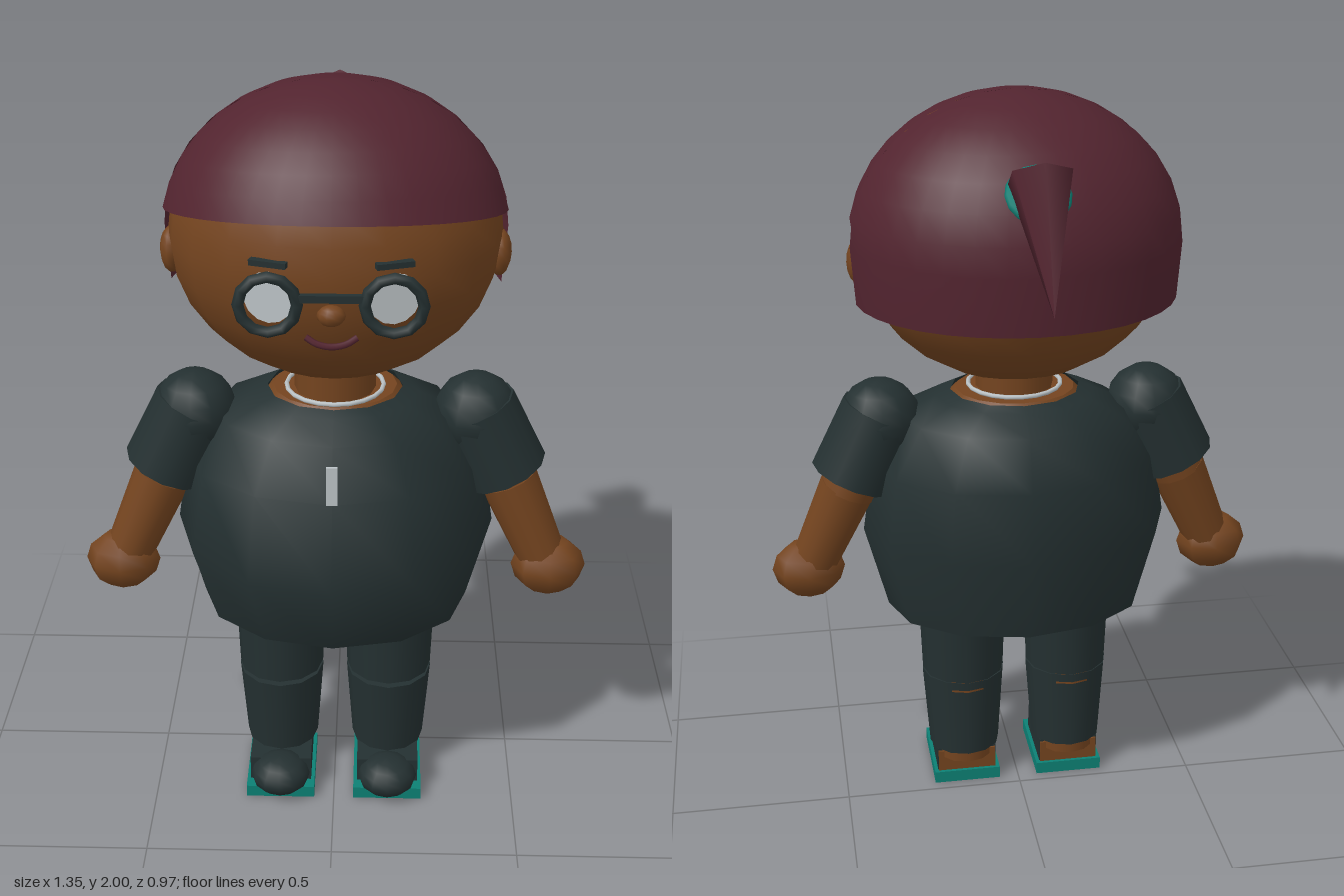
import * as THREE from 'three';
import { mergeVertices } from 'three/addons/utils/BufferGeometryUtils.js';

const mat = (name, color, side = THREE.FrontSide) => {
  const m = new THREE.MeshStandardMaterial({ color, side });
  m.name = name;
  return m;
};

// Smooth open surface from a grid of points fn(row, col)
function surface(rows, cols, fn) {
  const pos = [], idx = [];
  for (let r = 0; r <= rows; r++) for (let c = 0; c <= cols; c++) pos.push(...fn(r, c));
  for (let r = 0; r < rows; r++) for (let c = 0; c < cols; c++) {
    const a = r * (cols + 1) + c, b = a + cols + 1;
    idx.push(a, a + 1, b, a + 1, b + 1, b);
  }
  let g = new THREE.BufferGeometry();
  g.setAttribute('position', new THREE.Float32BufferAttribute(pos, 3));
  g.setIndex(idx);
  g = mergeVertices(g, 1e-4);
  g.computeVertexNormals();
  return g;
}

export function createModel() {
  const root = new THREE.Group();
  root.name = 'figure';
  const skin = mat('brown skin', 0x74441f);
  const hair = mat('plum hair', 0x52242f, THREE.DoubleSide);
  const cloth = mat('dark clothes', 0x243031, THREE.DoubleSide);
  const teal = mat('teal trim', 0x0c8074);
  const silver = mat('silver', 0xbcc3c6);

  const add = (name, geo, m, x = 0, y = 0, z = 0) => {
    const mesh = new THREE.Mesh(geo, m);
    mesh.name = name;
    mesh.position.set(x, y, z);
    root.add(mesh);
    return mesh;
  };
  const ball = (name, m, p, s, w = 16, h = 12) => {
    const mesh = add(name, new THREE.SphereGeometry(1, w, h), m, ...p);
    mesh.scale.set(...s);
    return mesh;
  };
  const box = (name, m, p, s) => add(name, new THREE.BoxGeometry(...s), m, ...p);
  const UP = new THREE.Vector3(0, 1, 0);
  // Tapered cylinder from point a (radius ra) to point b (radius rb)
  const limb = (name, m, a, b, ra, rb, sides = 12) => {
    const A = new THREE.Vector3(...a), B = new THREE.Vector3(...b);
    const mid = A.clone().add(B).multiplyScalar(0.5);
    const mesh = add(name, new THREE.CylinderGeometry(ra, rb, A.distanceTo(B), sides), m, mid.x, mid.y, mid.z);
    mesh.quaternion.setFromUnitVectors(UP, A.sub(B).normalize());
    return mesh;
  };

  // Head and neck
  ball('head', skin, [0, 1.62, 0.07], [0.415, 0.37, 0.362], 20, 14);
  limb('neck', skin, [0, 1.28, 0.1], [0, 1.17, 0.1], 0.105, 0.105);

  // Hair: front cap with a sloping fringe, back shell that drops straight down
  const point = (th, phi, k = 1) => [
    0.43 * k * Math.sin(th) * Math.cos(phi),
    1.62 + 0.38 * Math.cos(th),
    0.07 + (Math.sin(phi) > 0 ? 0.37 : 0.38) * k * Math.sin(th) * Math.sin(phi)];
  add('hairFront', surface(8, 20, (r, c) => {
    const phi = -0.11 + (Math.PI + 0.22) * c / 20;
    const edge = 1.67 + 0.21 * (0.04 + 0.36 * Math.sin(phi));
    return point(Math.acos((edge - 1.62) / 0.38) * r / 8, phi, 1);
  }), hair);
  add('hairBack', surface(9, 16, (r, c) => {
    const phi = Math.PI + 0.11 + (Math.PI - 0.22) * c / 16;
    if (r < 9) return point(Math.PI / 2 * r / 8, phi, 1.005);
    const p = point(Math.PI / 2, phi, 0.98);
    return [p[0], 1.47, p[2]];
  }), hair);
  const tail = add('ponytail', new THREE.ConeGeometry(0.082, 0.345, 6), hair, 0, 1.718, -0.389);
  tail.rotation.x = Math.PI + 0.605;
  const tie = add('hairTie', new THREE.TorusGeometry(0.065, 0.016, 8, 16), teal, 0, 1.81, -0.268);
  tie.rotation.x = Math.PI / 4;

  // Face
  for (const s of [1, -1]) {
    ball('ear', skin, [s * 0.407, 1.57, 0.08], [0.03, 0.06, 0.045], 10, 8);
    const eye = add('eye', new THREE.CylinderGeometry(0.062, 0.062, 0.008, 14), silver, s * 0.145, 1.58, 0.413);
    eye.rotation.set(Math.PI / 2, 0, -s * 0.3);
    add('glassesRim', new THREE.TorusGeometry(0.068, 0.014, 6, 12), cloth, s * 0.145, 1.58, 0.457);
    const brow = box('eyebrow', cloth, [s * 0.145, 1.662, 0.408], [0.09, 0.014, 0.02]);
    brow.rotation.y = s * 0.3;
  }
  box('glassesBridge', cloth, [0, 1.597, 0.457], [0.16, 0.018, 0.016]);
  ball('nose', skin, [0, 1.543, 0.43], [0.034, 0.026, 0.026], 10, 8);
  const smile = new THREE.CatmullRomCurve3([[-0.06, 1.479, 0.408], [-0.035, 1.466, 0.417],
    [0, 1.46, 0.42], [0.035, 1.466, 0.417], [0.06, 1.479, 0.408]].map(p => new THREE.Vector3(...p)));
  add('mouth', new THREE.TubeGeometry(smile, 12, 0.008, 6), hair);

  // Shirt rings: height, half width, front z, back z
  const rings = [[1.205, 0.175, 0.24, -0.07], [1.19, 0.215, 0.265, -0.09], [1.145, 0.31, 0.33, -0.16],
    [1.01, 0.39, 0.38, -0.206], [0.81, 0.42, 0.487, -0.222], [0.575, 0.358, 0.37, -0.17]];
  add('shirt', surface(rings.length - 1, 12, (r, c) => {
    const [y, w, f, b] = rings[r], t = 2 * Math.PI * (c % 12) / 12;
    const s = Math.sin(t);
    return [w * Math.cos(t), y, 0.09 + (s > 0 ? f - 0.09 : 0.09 - b) * s];
  }), cloth);
  const chest = add('neckline', new THREE.CylinderGeometry(0.16, 0.18, 0.02, 16), skin, 0, 1.198, 0.087);
  chest.scale.z = 0.9;
  const hips = add('hips', new THREE.CylinderGeometry(0.345, 0.335, 0.03, 12), skin, 0, 0.597, 0.1);
  hips.scale.z = 0.76;
  const chain = add('necklace', new THREE.TorusGeometry(0.125, 0.006, 6, 20), silver, 0, 1.213, 0.1);
  chain.rotation.x = Math.PI / 2;
  box('zipPull', silver, [0, 1.072, 0.392], [0.028, 0.105, 0.008]);

  for (const s of [1, -1]) {
    // Arms
    ball('shoulder', cloth, [s * 0.365, 1.135, 0.095], [0.11, 0.108, 0.11], 12, 8);
    limb('sleeve', cloth, [s * 0.362, 1.155, 0.095], [s * 0.445, 0.968, 0.095], 0.107, 0.116);
    limb('upperArm', skin, [s * 0.42, 1.02, 0.09], [s * 0.46, 0.93, 0.092], 0.076, 0.076);
    limb('forearm', skin, [s * 0.458, 0.94, 0.095], [s * 0.56, 0.71, 0.117], 0.078, 0.064);
    ball('hand', skin, [s * 0.575, 0.69, 0.12], [0.1, 0.083, 0.08], 8, 6);

    // Trousers in two sections with a narrow gap at the knee
    const x = s * 0.15;
    limb('thigh', cloth, [x, 0.62, 0.1], [x, 0.354, 0.105], 0.125, 0.116);
    limb('knee', skin, [x, 0.38, 0.08], [x, 0.32, 0.08], 0.09, 0.09);
    limb('shin', cloth, [x, 0.347, 0.106], [x, 0.108, 0.098], 0.117, 0.1);
    limb('ankle', skin, [x, 0.14, 0.09], [x, 0.08, 0.09], 0.085, 0.085);

    // Open-heeled shoe
    box('sole', teal, [x, 0.018, 0.153], [0.19, 0.035, 0.245]);
    box('heel', skin, [x, 0.067, 0.09], [0.155, 0.066, 0.1]);
    box('shoeUpper', cloth, [x, 0.07, 0.143], [0.17, 0.075, 0.195]);
    box('heelPatch', skin, [x, 0.067, 0.043], [0.166, 0.066, 0.006]);
    ball('toe', cloth, [x, 0.068, 0.252], [0.082, 0.055, 0.078], 12, 8);
  }
  return root;
}
